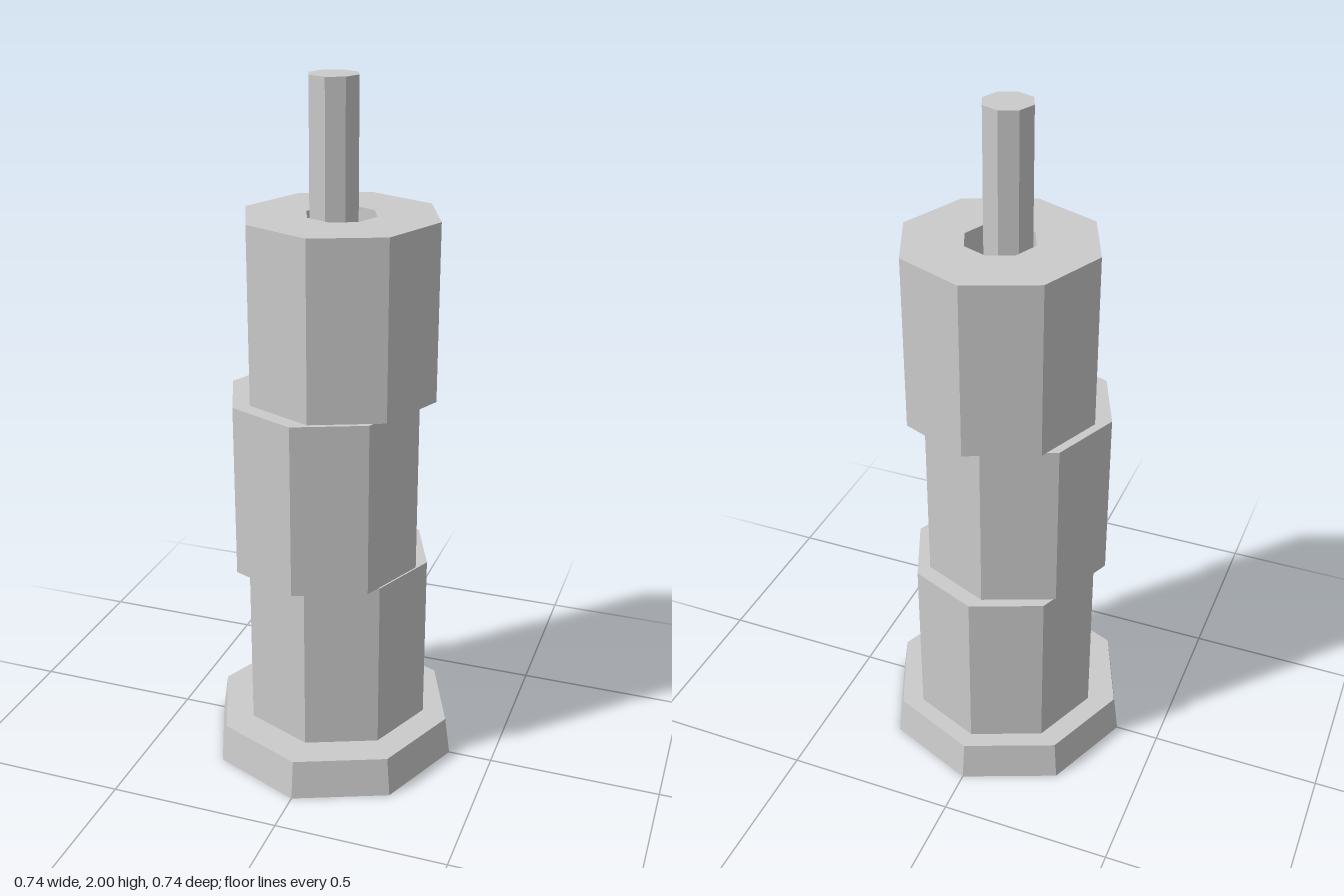
import * as THREE from 'three';

const SIDES = 8;
const BASE_HEIGHT = 0.115;
const RING_HEIGHT = 0.505;

export function createModel() {
  const group = new THREE.Group();
  const material = new THREE.MeshStandardMaterial({ color: 0xcccccc, flatShading: true });

  const add = (name, geometry, x, y, z) => {
    const mesh = new THREE.Mesh(geometry, material);
    mesh.name = name;
    mesh.position.set(x, y, z);
    group.add(mesh);
  };

  // Tapered octagonal foot
  add('base', new THREE.CylinderGeometry(0.355, 0.371, BASE_HEIGHT, SIDES), 0, BASE_HEIGHT / 2, 0);

  // Upright pole standing on the base
  const poleHeight = 2 - BASE_HEIGHT;
  add('pole', new THREE.CylinderGeometry(0.07, 0.07, poleHeight, SIDES), 0, BASE_HEIGHT + poleHeight / 2, 0);

  // Three loose rings threaded on the pole, each slightly off centre
  const outer = 0.278, inner = 0.101;
  const profile = [[outer, 0], [outer, RING_HEIGHT], [inner, RING_HEIGHT], [inner, 0], [outer, 0]]
    .map(([r, y]) => new THREE.Vector2(r, y));
  const ring = new THREE.LatheGeometry(profile, SIDES);
  const rings = [
    ['lowerRing', 0, -0.024],
    ['middleRing', -0.022, 0.017],
    ['upperRing', 0.017, -0.013],
  ];
  rings.forEach(([name, x, z], i) => add(name, ring, x, BASE_HEIGHT + i * RING_HEIGHT, z));

  return group;
}
